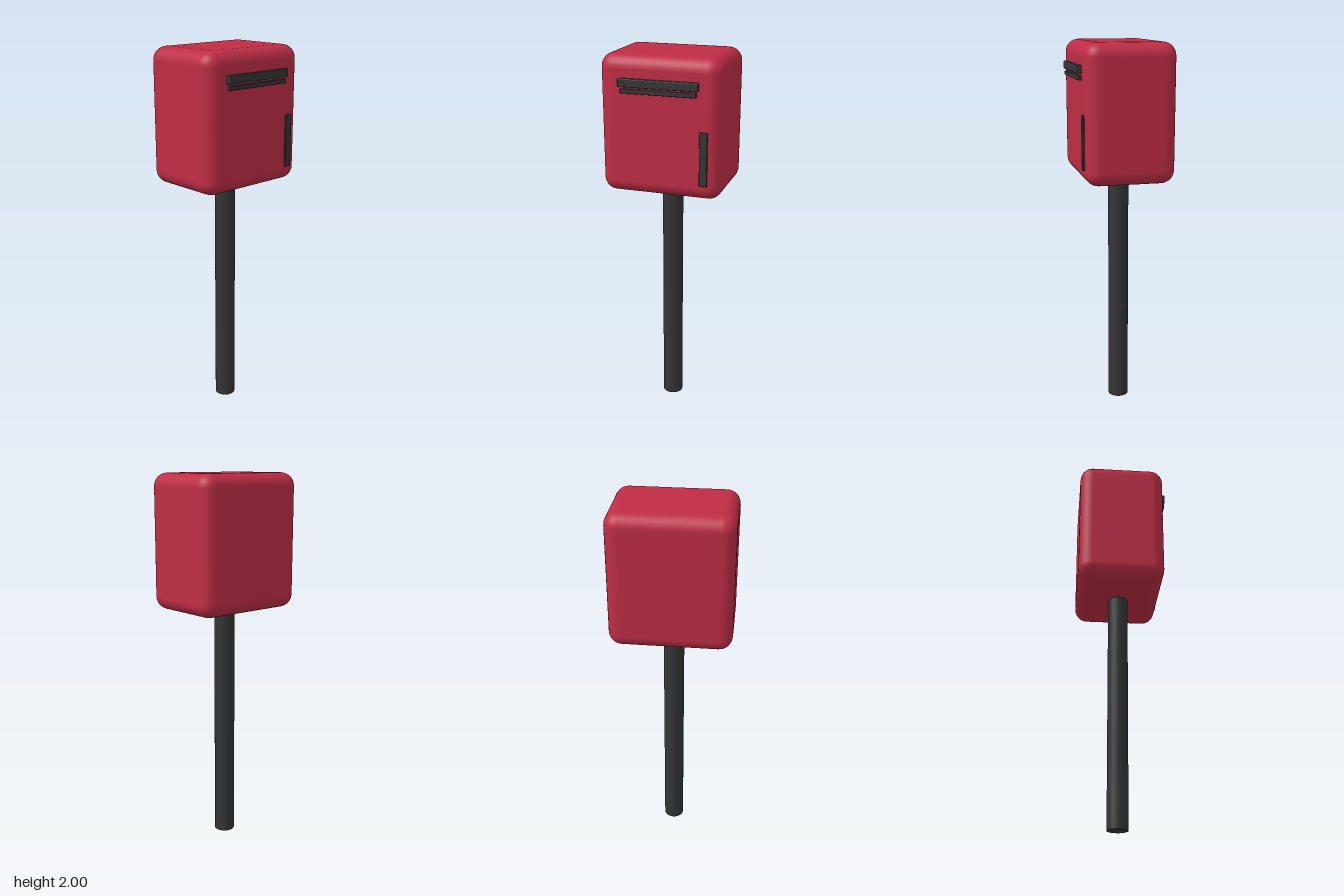
import * as THREE from 'three';
import { RoundedBoxGeometry } from 'three/addons/geometries/RoundedBoxGeometry.js';

export function createModel() {
  const model = new THREE.Group();
  model.name = 'postBox';

  const red = new THREE.MeshStandardMaterial({ color: 0xbf2d45 });
  red.name = 'red paint';
  const dark = new THREE.MeshStandardMaterial({ color: 0x353535 });
  dark.name = 'dark metal';

  // Rounded block given by its minimum and maximum corners
  const block = (name, material, min, max, radius, segments) => {
    const size = max.map((v, i) => v - min[i]);
    const mesh = new THREE.Mesh(new RoundedBoxGeometry(...size, segments, radius), material);
    mesh.position.set(...max.map((v, i) => (v + min[i]) / 2));
    mesh.name = name;
    model.add(mesh);
  };

  // Rounded box body
  block('body', red, [-0.316, 1.29, -0.245], [0.316, 2, 0.222], 0.07, 4);

  // Mail slot flap with a thinner lip below it
  block('slotFlap', dark, [-0.206, 1.845, 0.2], [0.206, 1.887, 0.243], 0.005, 2);
  block('slotLip', dark, [-0.195, 1.814, 0.2], [0.195, 1.836, 0.24], 0.004, 2);

  // Upright handle on the door's left
  block('handle', dark, [0.211, 1.37, 0.2], [0.253, 1.647, 0.23], 0.004, 2);

  // Post, running a little way into the body
  const post = new THREE.Mesh(new THREE.CylinderGeometry(0.055, 0.055, 1.32, 32), dark);
  post.position.set(0, 0.66, -0.011);
  post.name = 'post';
  model.add(post);

  return model;
}
